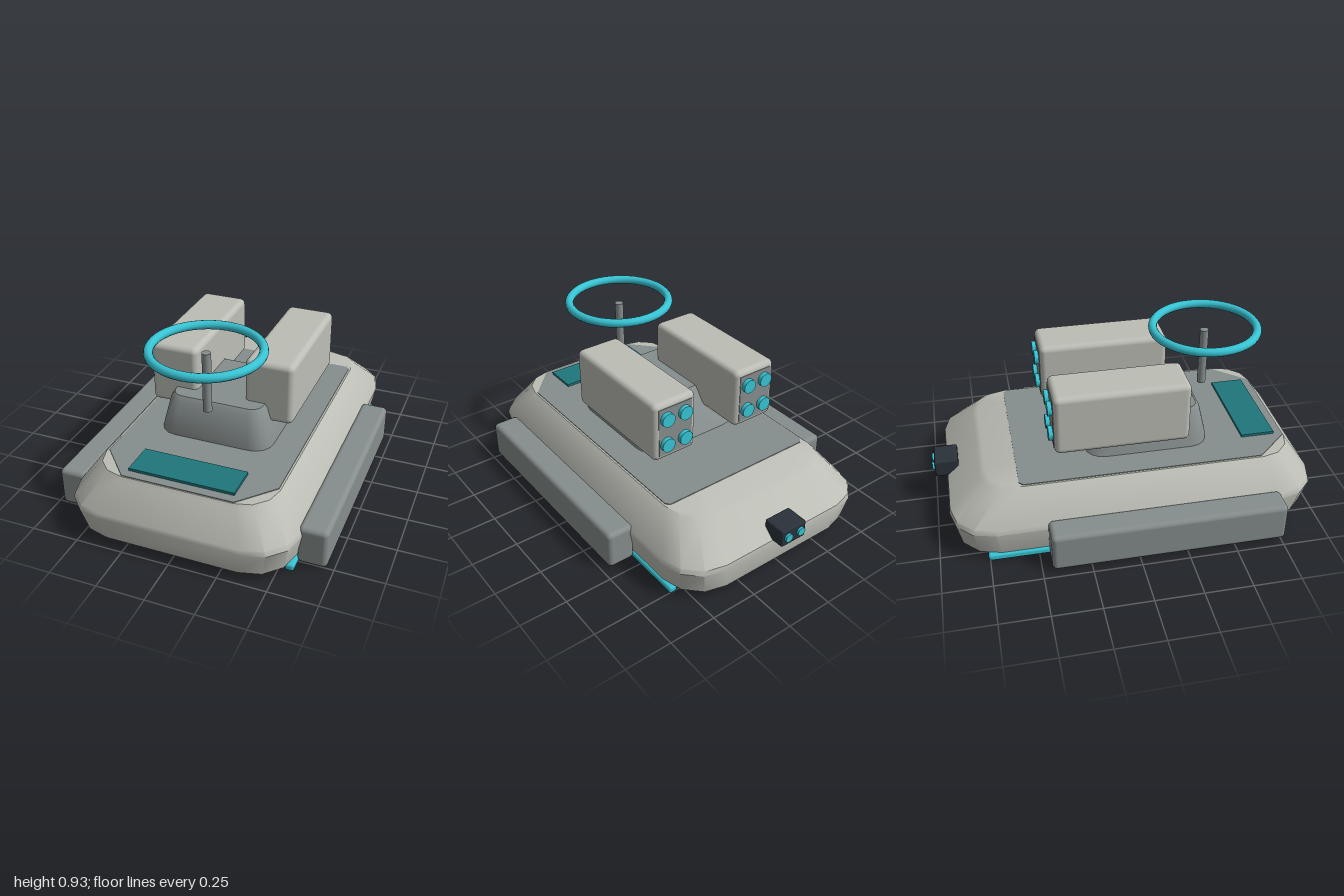
import * as THREE from 'three';
import { toCreasedNormals } from 'three/addons/utils/BufferGeometryUtils.js';
import { RoundedBoxGeometry } from 'three/addons/geometries/RoundedBoxGeometry.js';

const paint = (name, color) => {
  const m = new THREE.MeshStandardMaterial({ color });
  m.name = name;
  return m;
};

// Closed loft through rounded rectangles [y, halfWidth, backZ, frontZ, cornerRadius], bottom to top
function loft(rings, steps = 3, crease = 0.56) {
  const loops = rings.map(([y, hx, z0, z1, r]) => {
    const pts = [];
    const corners = [[hx - r, z0 + r], [-hx + r, z0 + r], [-hx + r, z1 - r], [hx - r, z1 - r]];
    corners.forEach(([cx, cz], q) => {
      for (let i = 0; i <= steps; i++) {
        const a = (q + i / steps) * Math.PI / 2;
        pts.push(new THREE.Vector3(cx + r * Math.cos(a), y, cz - r * Math.sin(a)));
      }
    });
    return pts;
  });
  const pos = [];
  const tri = (...p) => p.forEach(v => pos.push(v.x, v.y, v.z));
  const n = loops[0].length;
  const centre = ([y, , z0, z1]) => new THREE.Vector3(0, y, (z0 + z1) / 2);
  const low = centre(rings[0]), high = centre(rings[rings.length - 1]);
  const last = loops[loops.length - 1];
  for (let i = 0; i < n; i++) {
    const j = (i + 1) % n;
    for (let k = 0; k < loops.length - 1; k++) {
      const a = loops[k], b = loops[k + 1];
      tri(a[i], a[j], b[j]);
      tri(a[i], b[j], b[i]);
    }
    tri(low, loops[0][j], loops[0][i]);
    tri(high, last[i], last[j]);
  }
  const g = new THREE.BufferGeometry();
  g.setAttribute('position', new THREE.Float32BufferAttribute(pos, 3));
  return toCreasedNormals(g, crease);
}

export function createModel() {
  const model = new THREE.Group();
  model.name = 'hoverVehicle';
  const light = paint('lightGrey', 0xbcbeb6);
  const grey = paint('midGrey', 0x868e8d);
  const cyan = paint('cyan', 0x38c4d4);
  const teal = paint('darkTeal', 0x1f777b);
  const dark = paint('charcoal', 0x2a323a);

  const add = (name, geometry, material, x = 0, y = 0, z = 0) => {
    const m = new THREE.Mesh(geometry, material);
    m.name = name;
    m.position.set(x, y, z);
    model.add(m);
    return m;
  };

  // Hull with sloped shoulders
  add('hull', loft([
    [0.025, 0.53, -0.84, 0.91, 0.2],
    [0.04, 0.565, -0.905, 0.97, 0.22],
    [0.175, 0.592, -0.93, 1.0, 0.22],
    [0.2, 0.585, -0.925, 0.995, 0.22],
    [0.345, 0.48, -0.76, 0.89, 0.18],
    [0.362, 0.46, -0.73, 0.88, 0.17],
  ]), light);

  // Deck plate: square at the back, clipped corners at the front
  const deck = new THREE.Shape([
    [-0.45, 0.55], [-0.43, 0.57], [0.43, 0.57], [0.45, 0.55],
    [0.45, -0.7], [0.29, -0.875], [-0.29, -0.875], [-0.45, -0.7],
  ].map(p => new THREE.Vector2(...p)));
  const deckGeo = new THREE.ExtrudeGeometry(deck, { depth: 0.006, bevelEnabled: false });
  add('deck', deckGeo.rotateX(-Math.PI / 2), grey, 0, 0.36, 0);
  add('frontPanel', new THREE.BoxGeometry(0.55, 0.018, 0.18), teal, 0, 0.371, 0.738);

  // Turret base with a sloping back
  add('turretBase', loft([
    [0.355, 0.305, -0.205, 0.46, 0.1],
    [0.4, 0.295, -0.18, 0.46, 0.1],
    [0.55, 0.255, -0.065, 0.425, 0.07],
    [0.572, 0.24, -0.045, 0.405, 0.06],
  ], 4, 0.7), grey);

  // Mast and ring
  add('mast', new THREE.CylinderGeometry(0.023, 0.023, 0.32, 20), grey, 0, 0.735, 0.49);
  add('ring', new THREE.TorusGeometry(0.275, 0.023, 12, 48).rotateX(Math.PI / 2), cyan, 0, 0.91, 0.49);

  for (const s of [-1, 1]) {
    // Side skirts and the rails beneath them
    add('sideSkirt', new RoundedBoxGeometry(0.15, 0.21, 1.22, 3, 0.025), grey, s * 0.643, 0.115, 0.16);
    add('bottomRail', new RoundedBoxGeometry(0.045, 0.036, 1.59, 1, 0.012), cyan, s * 0.552, 0.018, 0.037);

    // Launcher boxes with four rear tubes each
    add('launcher', new RoundedBoxGeometry(0.256, 0.33, 0.7, 3, 0.03), light, s * 0.257, 0.635, -0.025);
    add('launcherBackPanel', new THREE.BoxGeometry(0.2, 0.27, 0.006), grey, s * 0.257, 0.635, -0.375);
    for (const x of [0.204, 0.312]) for (const y of [0.563, 0.71]) {
      add('launcherTube', new THREE.CylinderGeometry(0.038, 0.038, 0.04, 20).rotateX(Math.PI / 2),
        cyan, s * x, y, -0.38);
    }

    // Rear sensor lenses
    add('sensorLens', new THREE.CylinderGeometry(0.023, 0.023, 0.03, 16).rotateX(Math.PI / 2),
      cyan, s * 0.04, 0.245, -0.985);
  }
  add('sensorBox', new RoundedBoxGeometry(0.155, 0.096, 0.126, 2, 0.01), dark, 0, 0.243, -0.925);

  return model;
}
